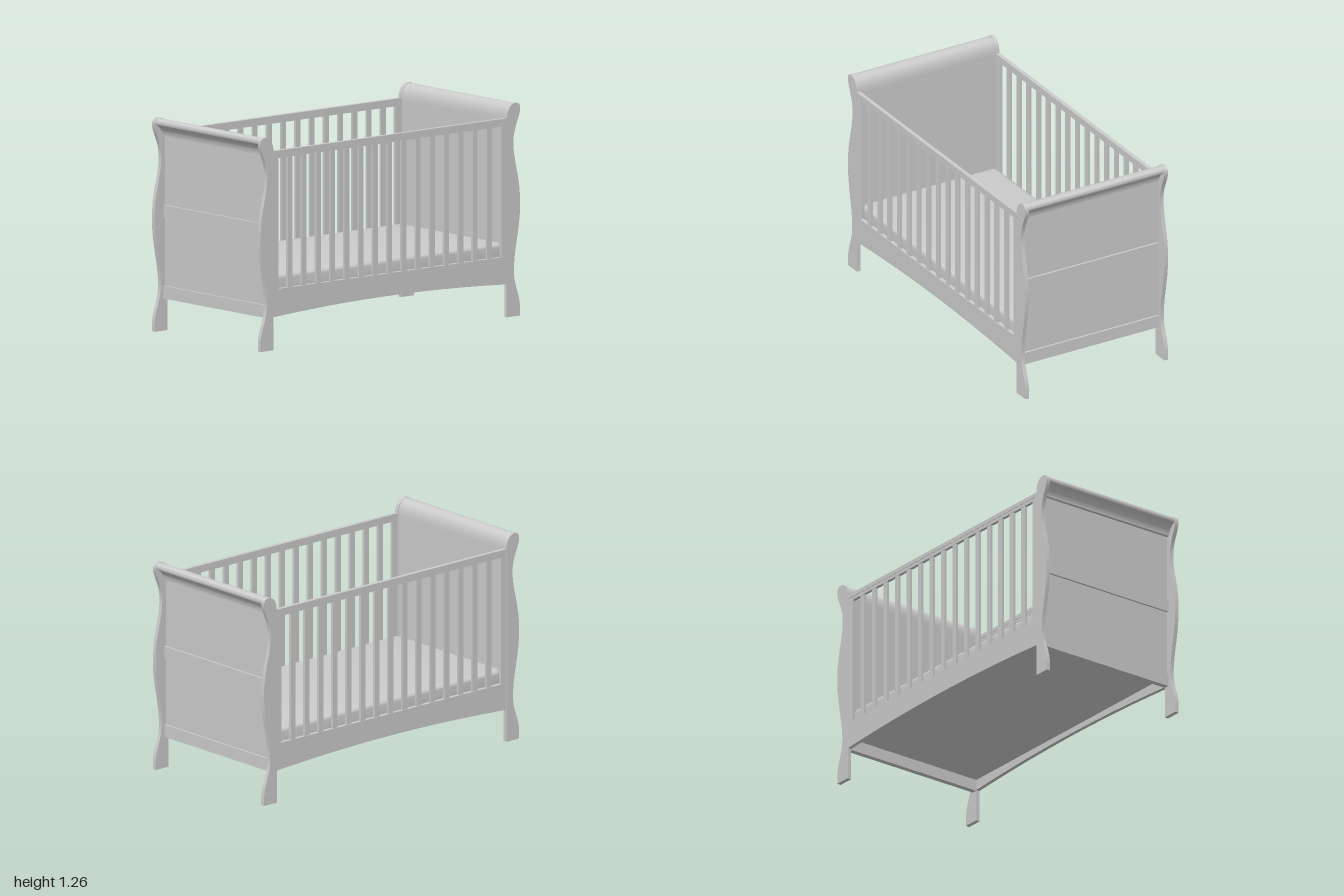
import * as THREE from 'three';
import { toCreasedNormals } from 'three/addons/utils/BufferGeometryUtils.js';

const HALF_Z = 0.463;      // inner face of the posts
const THICK = 0.025;       // thickness of posts and side rails
const MID_Z = HALF_Z + THICK / 2;
const material = new THREE.MeshStandardMaterial({ color: 0xcccccc });

function add(parent, name, geometry, x = 0, y = 0, z = 0) {
  const mesh = new THREE.Mesh(geometry, material);
  mesh.name = name;
  mesh.position.set(x, y, z);
  parent.add(mesh);
  return mesh;
}

// Box given by its limits on each axis
function box(parent, name, x0, x1, y0, y1, z0, z1) {
  return add(parent, name, new THREE.BoxGeometry(x1 - x0, y1 - y0, z1 - z0),
    (x0 + x1) / 2, (y0 + y1) / 2, (z0 + z1) / 2);
}

function extrude(shape, depth, options = {}) {
  const geometry = new THREE.ExtrudeGeometry(shape, { depth, bevelEnabled: false, curveSegments: 12, ...options });
  return toCreasedNormals(geometry, 0.6);
}

// Wavy post with a scrolled top
function postShape() {
  const s = new THREE.Shape();
  s.moveTo(0.9, 0);
  s.lineTo(1, 0);
  s.lineTo(1, 0.05);
  s.bezierCurveTo(0.995, 0.14, 0.952, 0.18, 0.952, 0.27);
  s.bezierCurveTo(0.952, 0.4, 1, 0.51, 1, 0.67);
  s.bezierCurveTo(1, 0.83, 0.948, 0.92, 0.948, 1.03);
  s.bezierCurveTo(0.948, 1.12, 0.995, 1.17, 1, 1.225);
  s.bezierCurveTo(1.001, 1.252, 0.99, 1.265, 0.965, 1.265);
  s.bezierCurveTo(0.925, 1.265, 0.9, 1.23, 0.9, 1.17);
  s.closePath();
  return s;
}

// Scrolled rail along the top of an end panel
function scrollShape() {
  const s = new THREE.Shape();
  s.moveTo(0.905, 1.155);
  s.lineTo(0.94, 1.155);
  s.bezierCurveTo(0.942, 1.19, 0.965, 1.215, 0.991, 1.227);
  s.bezierCurveTo(1, 1.245, 0.99, 1.263, 0.965, 1.263);
  s.bezierCurveTo(0.93, 1.263, 0.905, 1.23, 0.905, 1.17);
  s.closePath();
  return s;
}

function buildEnd() {
  const end = new THREE.Group();
  const post = extrude(postShape(), THICK);
  add(end, 'frontPost', post, 0, 0, HALF_Z);
  add(end, 'backPost', post, 0, 0, -HALF_Z - THICK);
  add(end, 'scrollRail', extrude(scrollShape(), 2 * HALF_Z), 0, 0, -HALF_Z);
  box(end, 'endPanel', 0.905, 0.92, 0.19, 1.16, -HALF_Z, HALF_Z);
  box(end, 'middleRail', 0.918, 0.933, 0.67, 0.745, -HALF_Z, HALF_Z);
  box(end, 'lowerRail', 0.9, 0.933, 0.19, 0.265, -HALF_Z, HALF_Z);
  return end;
}

// Bottom rail with a gently arched lower edge
function apronShape() {
  const s = new THREE.Shape();
  s.moveTo(-0.9, 0.36);
  s.lineTo(-0.9, 0.195);
  s.quadraticCurveTo(0, 0.257, 0.9, 0.195);
  s.lineTo(0.9, 0.36);
  s.closePath();
  return s;
}

function buildSide() {
  const side = new THREE.Group();
  add(side, 'apron', extrude(apronShape(), THICK - 0.002, { curveSegments: 32 }), 0, 0, HALF_Z);
  box(side, 'topRailCap', -0.9, 0.9, 1.155, 1.18, HALF_Z, HALF_Z + THICK);
  box(side, 'topRail', -0.9, 0.9, 1.135, 1.155, HALF_Z + 0.003, HALF_Z + THICK - 0.003);
  const slat = new THREE.BoxGeometry(0.036, 0.775, 0.015);
  for (let i = -7; i <= 7; i++) add(side, 'slat', slat, i * 0.1097, 0.7475, MID_Z);
  for (const s of [-1, 1]) {
    add(side, 'stile', new THREE.BoxGeometry(0.04, 0.775, 0.019), s * 0.88, 0.7475, MID_Z);
  }
  return side;
}

// Soft mattress with rounded corners and edges
function mattressGeometry() {
  const b = 0.025, w = 0.899 - b, d = 0.461 - b, r = 0.02;
  const s = new THREE.Shape();
  s.moveTo(-w + r, -d);
  s.lineTo(w - r, -d);
  s.absarc(w - r, -d + r, r, -Math.PI / 2, 0);
  s.lineTo(w, d - r);
  s.absarc(w - r, d - r, r, 0, Math.PI / 2);
  s.lineTo(-w + r, d);
  s.absarc(-w + r, d - r, r, Math.PI / 2, Math.PI);
  s.lineTo(-w, -d + r);
  s.absarc(-w + r, -d + r, r, Math.PI, Math.PI * 1.5);
  const geometry = extrude(s, 0.11, {
    bevelEnabled: true, bevelSize: b, bevelThickness: b, bevelSegments: 6, curveSegments: 6,
  });
  return geometry.rotateX(-Math.PI / 2);
}

export function createModel() {
  const cot = new THREE.Group();
  cot.name = 'cot';

  // The two ends and two sides are half-turn copies
  [['leftEnd', 0], ['rightEnd', Math.PI]].forEach(([name, turn]) => {
    const end = buildEnd();
    end.name = name;
    end.rotation.y = turn;
    cot.add(end);
  });
  [['frontSide', 0], ['backSide', Math.PI]].forEach(([name, turn]) => {
    const side = buildSide();
    side.name = name;
    side.rotation.y = turn;
    cot.add(side);
  });

  // Base board and mattress
  box(cot, 'baseBoard', -0.9, 0.9, 0.26, 0.28, -HALF_Z, HALF_Z);
  add(cot, 'mattress', mattressGeometry(), 0, 0.305, 0);
  return cot;
}
